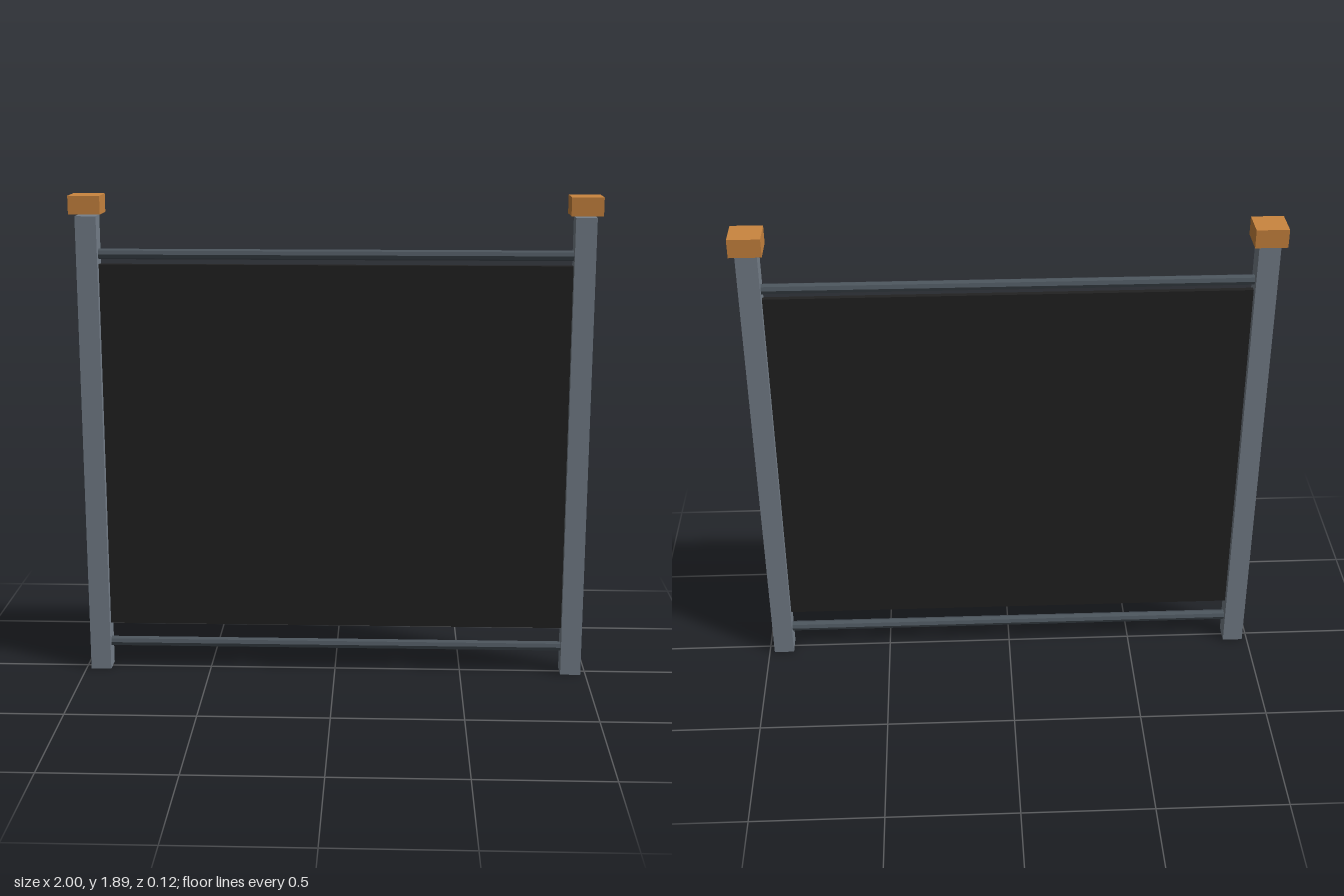
import * as THREE from 'three';

function paint(name, color, flatShading = false) {
  const material = new THREE.MeshStandardMaterial({ color, flatShading });
  material.name = name;
  return material;
}

export function createModel() {
  const model = new THREE.Group();
  model.name = 'screenPanel';

  const postGrey = paint('postGrey', 0x757f8a);
  const railGrey = paint('railGrey', 0x4c555d, true);
  const screenBlack = paint('screenBlack', 0x222222);
  const capWood = paint('capWood', 0xca853f);

  function add(name, geometry, material, x, y) {
    const mesh = new THREE.Mesh(geometry, material);
    mesh.name = name;
    mesh.position.set(x, y, 0);
    model.add(mesh);
  }

  // Square posts, each with a wooden cap floating just above it
  for (const [side, sign] of [['left', 1], ['right', -1]]) {
    add(side + 'Post', new THREE.BoxGeometry(0.08, 1.813, 0.08), postGrey, sign * 0.94, 0.9065);
    add(side + 'Cap', new THREE.BoxGeometry(0.12, 0.07, 0.12), capWood, sign * 0.94, 1.856);
  }

  // Eight-sided rails between the posts
  for (const [name, y] of [['topRail', 1.667], ['bottomRail', 0.106]]) {
    const rail = new THREE.CylinderGeometry(0.02, 0.02, 1.8, 8).rotateZ(Math.PI / 2);
    add(name, rail, railGrey, 0, y);
  }

  // Dark screen between the rails
  add('screen', new THREE.BoxGeometry(1.8, 1.443, 0.02), screenBlack, 0, 0.907);

  return model;
}
